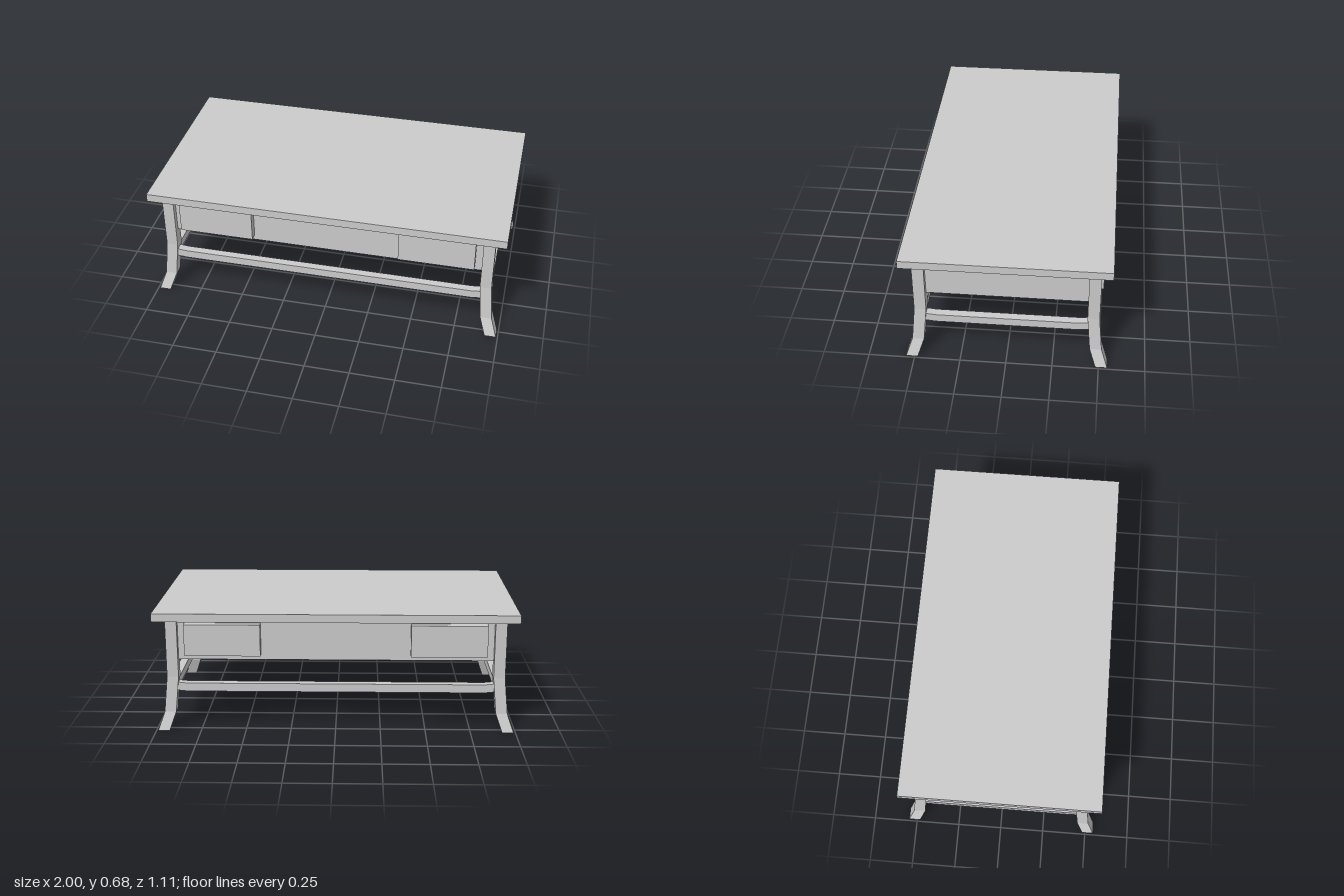
import * as THREE from 'three';

const material = new THREE.MeshStandardMaterial({ color: 0xcccccc, flatShading: true });

function addPart(parent, name, geometry, x = 0, y = 0, z = 0) {
  const mesh = new THREE.Mesh(geometry, material);
  mesh.name = name;
  mesh.position.set(x, y, z);
  parent.add(mesh);
  return mesh;
}

// Move every vertex of a geometry by a rule
function reshape(geometry, rule) {
  const p = geometry.attributes.position;
  const v = new THREE.Vector3();
  for (let i = 0; i < p.count; i++) {
    rule(v.fromBufferAttribute(p, i));
    p.setXYZ(i, v.x, v.y, v.z);
  }
  geometry.computeVertexNormals();
  return geometry;
}

// Square leg whose foot splays diagonally outwards: [height, outward shift]
const legLevels = [[0, 0.053], [0.1, 0.018], [0.3, 0], [0.627, 0]];
function legGeometry(sx, sz) {
  return reshape(new THREE.BoxGeometry(0.064, 3, 0.064, 1, 3, 1), (v) => {
    const [height, shift] = legLevels[Math.round(v.y + 1.5)];
    v.set(v.x + sx * shift, height, v.z + sz * shift);
  });
}

// Rail along x with slightly raised ends
function stretcherGeometry(half) {
  return reshape(new THREE.BoxGeometry(3, 0.047, 0.045, 3, 1, 1), (v) => {
    const end = Math.abs(v.x) > 1;
    v.x = Math.sign(v.x) * (end ? half : half - 0.06);
    if (end) v.y += 0.006;
  });
}

export function createModel() {
  const table = new THREE.Group();
  table.name = 'coffeeTable';
  const legX = 0.905, legZ = 0.462;

  addPart(table, 'tableTop', new THREE.BoxGeometry(2, 0.046, 1.106), 0, 0.653, 0);
  addPart(table, 'apron', new THREE.BoxGeometry(2 * legX, 0.234, 2 * legZ), 0, 0.51, 0);

  for (const sx of [-1, 1]) {
    for (const sz of [-1, 1]) {
      addPart(table, 'leg', legGeometry(sx, sz), sx * legX, 0, sz * legZ);
      // Drawer fronts stand proud of the apron on both long sides
      addPart(table, 'drawerFront', new THREE.BoxGeometry(0.42, 0.178, 0.05),
        sx * 0.624, 0.514, sz * 0.482);
    }
  }

  // Stretchers joining the legs
  for (const s of [-1, 1]) {
    addPart(table, 'longStretcher', stretcherGeometry(0.885), 0, 0.238, s * (legZ + 0.005));
    addPart(table, 'shortStretcher', stretcherGeometry(0.44), s * (legX + 0.005), 0.238, 0)
      .rotation.y = Math.PI / 2;
  }
  return table;
}
